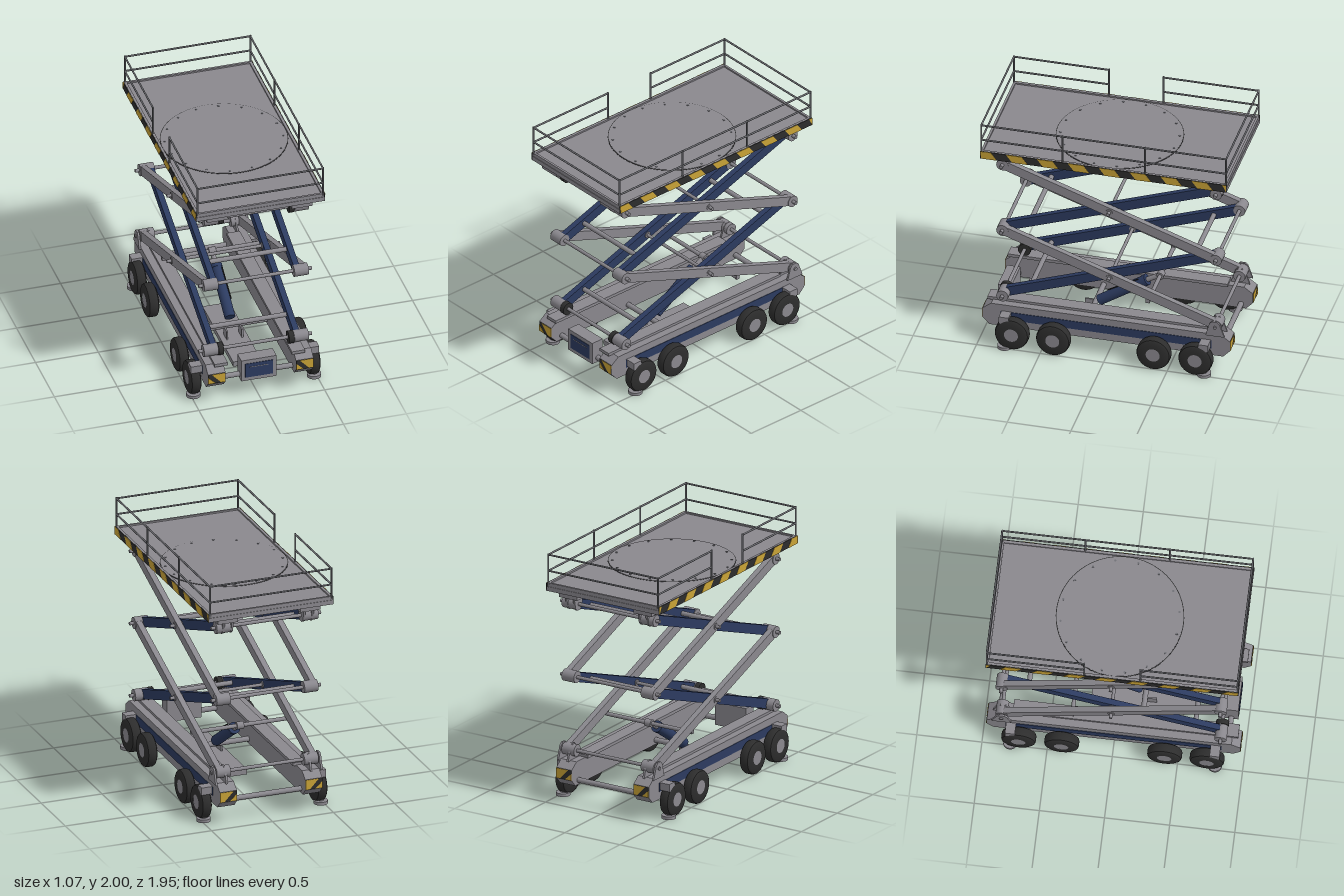
import * as THREE from 'three';
import { toCreasedNormals } from 'three/addons/utils/BufferGeometryUtils.js';

const mat = (name, color) => {
  const m = new THREE.MeshStandardMaterial({ color });
  m.name = name;
  return m;
};

export function createModel() {
  const model = new THREE.Group();
  model.name = 'scissorLift';
  const grey = mat('steelGrey', 0x8a888e), railGrey = mat('railGrey', 0x707176);
  const blue = mat('armBlue', 0x2c3b60), black = mat('rubberBlack', 0x2d2d2d);
  const yellow = mat('warningYellow', 0xc9a336);

  const add = (name, geo, material, x = 0, y = 0, z = 0) => {
    const mesh = new THREE.Mesh(geo, material);
    mesh.name = name;
    mesh.position.set(x, y, z);
    model.add(mesh);
    return mesh;
  };
  // Box given by its limits on each axis
  const box = (name, m, x0, x1, y0, y1, z0, z1) =>
    add(name, new THREE.BoxGeometry(Math.abs(x1 - x0), y1 - y0, z1 - z0), m,
      (x0 + x1) / 2, (y0 + y1) / 2, (z0 + z1) / 2);
  // Round bar between two points
  const bar = (name, m, r, a, b, sides = 16) => {
    const p = new THREE.Vector3(...a), q = new THREE.Vector3(...b);
    const mesh = add(name, new THREE.CylinderGeometry(r, r, p.distanceTo(q), sides), m);
    mesh.position.copy(p).add(q).multiplyScalar(0.5);
    mesh.quaternion.setFromUnitVectors(new THREE.Vector3(0, 1, 0), q.sub(p).normalize());
    return mesh;
  };
  const crossBar = (name, m, r, x0, x1, y, z) => bar(name, m, r, [x0, y, z], [x1, y, z], 20);
  // Flat outline extruded about its middle
  const plate = (points, depth) => {
    const shape = new THREE.Shape(points.map(p => new THREE.Vector2(...p)));
    return new THREE.ExtrudeGeometry(shape, { depth, bevelEnabled: false }).translate(0, 0, -depth / 2);
  };
  // Outline in (z, y), extruded along x
  const sidePlate = (points, width) => plate(points, width).rotateY(-Math.PI / 2);

  // ---- Chassis ----
  const railOutline = [[0.92, 0.15], [0.972, 0.205], [0.972, 0.29], [0.905, 0.34],
    [-0.905, 0.34], [-0.972, 0.29], [-0.972, 0.205], [-0.92, 0.15]];
  const tyreProfile = [[0.055, -0.043], [0.112, -0.043], [0.127, -0.034], [0.133, -0.02],
    [0.133, 0.02], [0.127, 0.034], [0.112, 0.043], [0.055, 0.043]].map(p => new THREE.Vector2(...p));
  const tyre = toCreasedNormals(new THREE.LatheGeometry(tyreProfile, 36).rotateZ(Math.PI / 2), 0.6);
  const lowerBracket = [[-0.785, 0.335], [-0.815, 0.44], [-0.835, 0.462], [-0.875, 0.462],
    [-0.895, 0.445], [-0.935, 0.335]];
  const upperBracket = [[-0.80, 1.665], [-0.925, 1.665], [-0.905, 1.575], [-0.88, 1.555],
    [-0.84, 1.555], [-0.82, 1.575]];

  for (const s of [-1, 1]) {
    add('chassisRail', sidePlate(railOutline, 0.14), grey, s * 0.35);
    box('chassisSideStripe', blue, s * 0.419, s * 0.424, 0.212, 0.282, -0.83, 0.83);
    box('lowerRollerTrack', grey, s * 0.255, s * 0.36, 0.335, 0.36, -0.78, 0.95);

    // Warning panels on both ends of the rail
    for (const e of [-1, 1]) {
      box('endWarningPanel', black, s * 0.282, s * 0.418, 0.207, 0.288, e * 0.973 - 0.002, e * 0.973 + 0.002);
      const z = e * 0.975;
      add('endWarningStripe', plate([[-0.068, -0.04], [-0.01, -0.04], [-0.068, 0.015]], 0.004), yellow, s * 0.35, 0.2475, z);
      add('endWarningStripe', plate([[0.035, -0.04], [0.068, -0.04], [0.068, 0.04], [-0.04, 0.04]], 0.004),
        yellow, s * 0.35, 0.2475, z);
    }

    // Wheels
    for (const z of [0.725, 0.4, -0.39, -0.72]) {
      add('tyre', tyre, black, s * 0.474, 0.135, z);
      crossBar('wheelHub', grey, 0.06, s * 0.43, s * 0.515, 0.135, z);
      crossBar('wheelAxle', grey, 0.03, s * 0.38, s * 0.44, 0.165, z);
    }

    // Stabiliser jacks
    for (const z of [0.785, -0.785]) {
      box('jackHousing', grey, s * 0.415, s * 0.51, 0.225, 0.285, z - 0.038, z + 0.038);
      bar('jackLeg', grey, 0.022, [s * 0.48, 0.02, z], [s * 0.48, 0.24, z]);
      bar('jackFoot', grey, 0.055, [s * 0.48, 0, z], [s * 0.48, 0.025, z], 24);
    }

    // Fixed pivots at the rear, rolling ends at the front
    for (const x of [0.345, 0.432]) add('lowerPivotBracket', sidePlate(lowerBracket, 0.016), grey, s * x);
    for (const x of [0.295, 0.365]) add('upperPivotBracket', sidePlate(upperBracket, 0.016), grey, s * x);
    for (const y of [0.412, 1.602]) {
      crossBar('roller', black, 0.05, s * 0.26, s * 0.3, y, 0.82);
    }
  }
  for (const z of [-0.88, 0.2, 0.87]) crossBar('chassisCrossTube', grey, 0.021, -0.3, 0.3, 0.187, z);

  // Control box
  box('controlBox', grey, -0.14, 0.14, 0.15, 0.335, 0.82, 0.925);
  box('controlPanel', blue, -0.11, 0.11, 0.18, 0.303, 0.923, 0.929);
  box('controlPanelBar', grey, -0.075, 0.075, 0.268, 0.273, 0.928, 0.931);

  // Hanging tray
  box('underTray', grey, -0.107, 0.107, 0.075, 0.117, -0.21, 0.6);
  for (const x of [-0.06, 0.06]) box('trayHanger', grey, x - 0.006, x + 0.006, 0.11, 0.19, 0.2, 0.29);

  // ---- Scissor arms ----
  const front = 0.82, rear = -0.86, levels = [0.414, 1.008, 1.602];
  const arm = (name, m, x, y0, z0, y1, z1) => {
    const mesh = add(name, new THREE.BoxGeometry(0.046, 0.076, Math.hypot(y1 - y0, z1 - z0)), m,
      x, (y0 + y1) / 2, (z0 + z1) / 2);
    mesh.rotation.x = -Math.atan2(y1 - y0, z1 - z0);
  };
  for (let i = 0; i < 2; i++) {
    const lo = levels[i], hi = levels[i + 1], mid = (lo + hi) / 2;
    for (const s of [-1, 1]) {
      arm('outerArm', grey, s * 0.388, lo, rear, hi, front);
      arm('innerArm', blue, s * 0.331, hi, rear, lo, front);
      crossBar('centrePivotCap', grey, 0.026, s * 0.3, s * 0.416, mid, (front + rear) / 2);
    }
    crossBar('centrePivotShaft', grey, 0.013, -0.45, 0.45, mid, (front + rear) / 2);
    // Stiffening tubes between the inner arms
    for (const t of [0.12, 0.88]) {
      crossBar('armCrossTube', grey, 0.019, -0.315, 0.315, lo + (hi - lo) * t, front + (rear - front) * t);
    }
  }
  for (const y of levels) {
    for (const z of [front, rear]) {
      crossBar('pivotShaft', grey, 0.014, -0.45, 0.45, y, z);
      for (const s of [-1, 1]) crossBar('pivotHub', grey, 0.047, s * 0.303, s * 0.416, y, z);
    }
  }

  // ---- Lifting cylinder ----
  bar('cylinderBody', blue, 0.042, [0, 0.23, 0.16], [0, 0.472, -0.21], 24);
  bar('cylinderCollar', blue, 0.046, [0, 0.459, -0.19], [0, 0.475, -0.215], 24);
  bar('cylinderRod', grey, 0.02, [0, 0.46, -0.19], [0, 0.535, -0.32]);
  bar('cylinderHose', black, 0.005, [0.03, 0.35, 0.09], [0.03, 0.485, -0.15], 8);
  crossBar('cylinderHead', grey, 0.03, -0.028, 0.028, 0.535, -0.32);
  crossBar('cylinderCrossTube', grey, 0.016, -0.39, 0.39, 0.535, -0.32);
  for (const s of [-1, 1]) box('cylinderLug', grey, s * 0.375, s * 0.4, 0.525, 0.6, -0.335, -0.305);

  // ---- Platform ----
  box('platformSlab', grey, -0.51, 0.51, 1.7, 1.735, -0.97, 0.97);
  box('platformDeck', grey, -0.5, 0.5, 1.73, 1.753, -0.955, 0.955);
  for (const s of [-1, 1]) {
    box('platformSideCurb', grey, s * 0.488, s * 0.506, 1.735, 1.765, -0.966, 0.966);
    box('platformEndCurb', grey, -0.49, 0.49, 1.735, 1.765, s * 0.957 - 0.009, s * 0.957 + 0.009);
    box('platformRunner', grey, s * 0.255, s * 0.42, 1.657, 1.702, -0.935, 0.945);

    // Slanted warning stripes along the side
    box('sideWarningBand', black, s * 0.506, s * 0.513, 1.701, 1.764, -0.97, 0.97);
    const lim = z => Math.max(-0.968, Math.min(0.968, z));
    for (let k = -1; k < 8; k++) {
      const z = 0.764 - k * 0.243;
      const outline = [[lim(z), 1.764], [lim(z - 0.122), 1.764], [lim(z - 0.17), 1.701], [lim(z - 0.048), 1.701]];
      add('sideWarningStripe', sidePlate(outline, 0.004), yellow, s * 0.513);
    }
  }

  // Turntable set in the deck
  bar('turntableSeam', black, 0.49, [0, 1.75, 0], [0, 1.7545, 0], 72);
  bar('turntable', grey, 0.484, [0, 1.75, 0], [0, 1.757, 0], 72);
  for (let i = 0; i < 16; i++) {
    const a = (i + 0.5) * Math.PI / 8, x = 0.455 * Math.cos(a), z = 0.455 * Math.sin(a);
    bar('turntableBolt', railGrey, 0.009, [x, 1.755, z], [x, 1.761, z], 8);
  }

  // ---- Guard rail: closed on the left, entry gap on the right ----
  const gx = 0.499, gz = 0.963, r = 0.0075;
  const run = (x0, z0, x1, z1) => {
    for (const y of [1.862, 1.992]) bar('guardRail', railGrey, r, [x0, y, z0], [x1, y, z1], 8);
  };
  const post = (x, z) => bar('guardPost', railGrey, r, [x, 1.75, z], [x, 2, z], 8);
  run(gx, -gz, gx, gz);
  for (const s of [-1, 1]) {
    run(-gx, s * gz, gx, s * gz);
    run(-gx, s * gz, -gx, s * 0.215);
    post(gx, s * gz);
    post(-gx, s * gz);
    post(gx, s * 0.325);
    post(-gx, s * 0.215);
  }
  return model;
}
